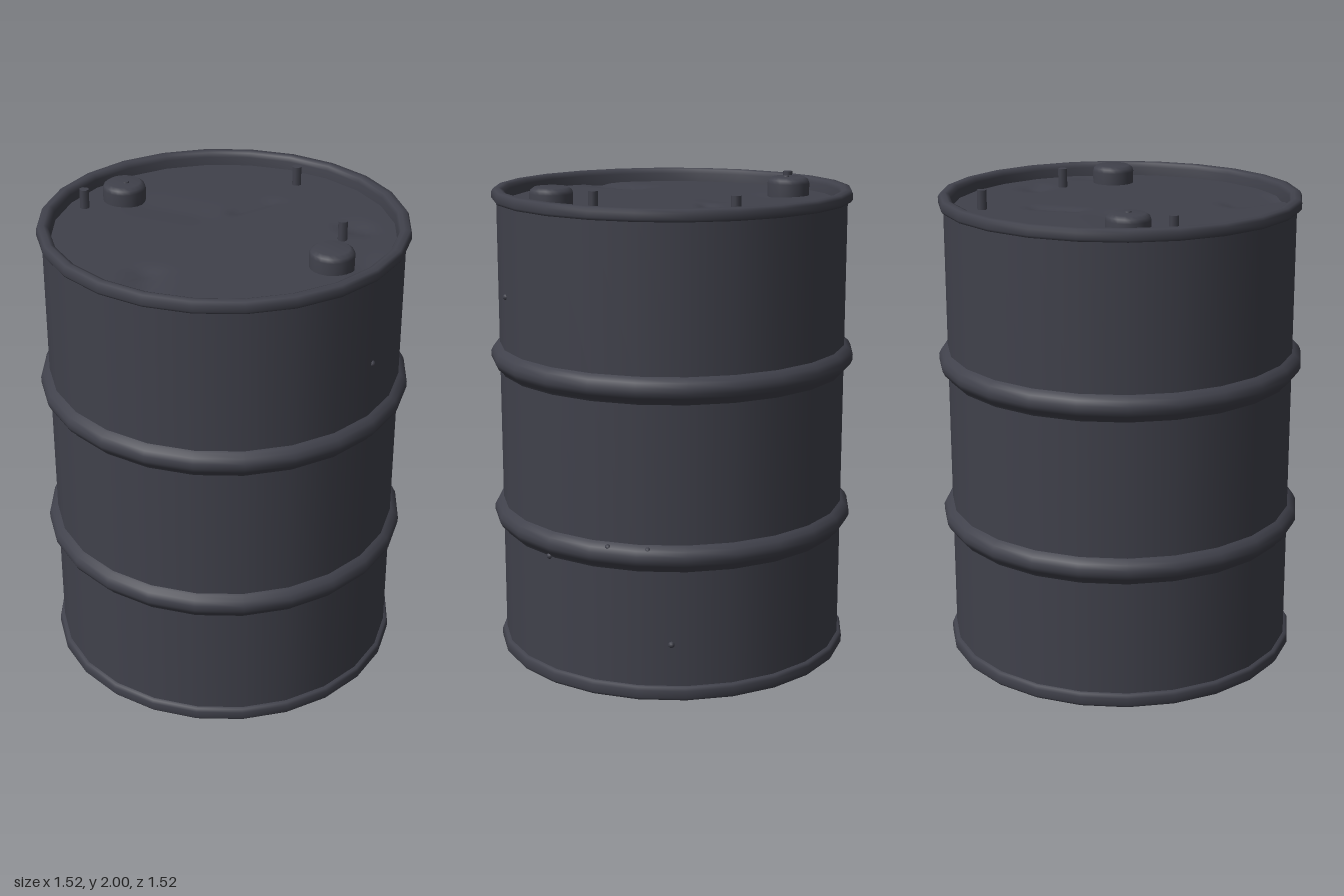
import * as THREE from 'three';

const SIDES = 24;
const steel = new THREE.MeshStandardMaterial({ color: 0x40414b });
steel.name = 'dark steel';

export function createModel() {
  const drum = new THREE.Group();
  drum.name = 'drum';

  const add = (name, geometry, x = 0, y = 0, z = 0, parent = drum) => {
    const mesh = new THREE.Mesh(geometry, steel);
    mesh.name = name;
    mesh.position.set(x, y, z);
    parent.add(mesh);
    return mesh;
  };
  const lathe = (profile, sides = SIDES) =>
    new THREE.LatheGeometry(profile.map(([r, y]) => new THREE.Vector2(r, y)), sides);

  // Side wall in three straight bands
  [['lowerWall', 0.06, 0.57], ['middleWall', 0.64, 1.25], ['upperWall', 1.31, 1.94]].forEach(
    ([name, bottom, top]) => add(name, lathe([[0.725, bottom], [0.725, top]])));

  // Two rolled hoops
  const hoop = [[0.722, -0.065], [0.732, -0.048], [0.752, -0.03], [0.762, -0.01],
    [0.762, 0.012], [0.752, 0.032], [0.735, 0.045], [0.722, 0.052]];
  add('lowerHoop', lathe(hoop), 0, 0.61, 0);
  add('upperHoop', lathe(hoop), 0, 1.285, 0);

  // Bottom rim and base
  add('bottomRim', lathe([[0.715, 0.008], [0.735, 0.012], [0.744, 0.024], [0.744, 0.054],
    [0.737, 0.066], [0.72, 0.07]]));
  add('base', lathe([[0, 0.008], [0.716, 0.008]]));

  // Top rim with its inner wall
  add('topRim', lathe([[0.72, 1.925], [0.738, 1.928], [0.745, 1.938], [0.745, 1.962],
    [0.737, 1.975], [0.715, 1.978], [0.7, 1.972], [0.693, 1.955], [0.69, 1.91]]));

  // Recessed lid with shallow dents: ends of each crease, half width, depth
  const dents = [
    [0.12, -0.165, 0.28, -0.205, 0.03, 0.012],
    [-0.5, 0.42, -0.41, 0.25, 0.05, 0.02],
    [0.48, 0.15, 0.52, 0.17, 0.04, 0.02],
    [0.36, 0.5, 0.42, 0.48, 0.04, 0.012],
    [-0.2, -0.35, -0.05, -0.2, 0.08, 0.008],
  ];
  const lid = new THREE.RingGeometry(0.001, 0.695, 72, 28).rotateX(-Math.PI / 2);
  const p = lid.attributes.position;
  const line = new THREE.Line3();
  const point = new THREE.Vector3();
  const nearest = new THREE.Vector3();
  for (let i = 0; i < p.count; i++) {
    point.set(p.getX(i), 0, p.getZ(i));
    let y = 0;
    for (const [x1, z1, x2, z2, width, depth] of dents) {
      line.start.set(x1, 0, z1);
      line.end.set(x2, 0, z2);
      line.closestPointToPoint(point, true, nearest);
      y -= depth * Math.exp(-((nearest.distanceTo(point) / width) ** 2));
    }
    p.setY(i, y);
  }
  lid.computeVertexNormals();
  add('lid', lid, 0, 1.92, 0);

  // Two round bungs, one with a small plug in its centre
  const bung = lathe([[0.088, -0.01], [0.089, 0.05], [0.084, 0.065], [0.068, 0.076], [0, 0.076]], 20);
  add('frontBung', bung, 0.27, 1.92, 0.445);
  add('backBung', bung, -0.27, 1.92, -0.45);
  add('bungPlug', new THREE.CylinderGeometry(0.012, 0.014, 0.006, 8), -0.265, 1.998, -0.44);

  // Three upright pins on the lid
  [[-0.45, -0.425], [0.457, -0.335], [0.408, 0.24]].forEach(([x, z], i) =>
    add('lidPin' + (i + 1), new THREE.CylinderGeometry(0.02, 0.02, 0.1, 8), x, 1.95, z));

  // Tiny studs on the side wall: direction x, z, height, radius
  [[0.38, 0.615, 1.56, 0.72], [0.61, 0.39, 0.55, 0.722], [0.71, -0.13, 0.245, 0.72],
    [0.72, 0.12, 0.642, 0.735], [0.73, -0.04, 0.642, 0.735]].forEach(([x, z, y, r], i) => {
    const k = r / Math.hypot(x, z);
    add('wallStud' + (i + 1), new THREE.SphereGeometry(0.013, 8, 6), x * k, y, z * k);
  });

  // Small feet bumps under the base
  [[-0.1, 0.3], [0.42, 0.5], [0.4, -0.45]].forEach(([x, z], i) => {
    const bump = add('baseBump' + (i + 1), new THREE.SphereGeometry(0.018, 8, 6), x, 0.008, z);
    bump.scale.y = 0.44;
  });

  return drum;
}
